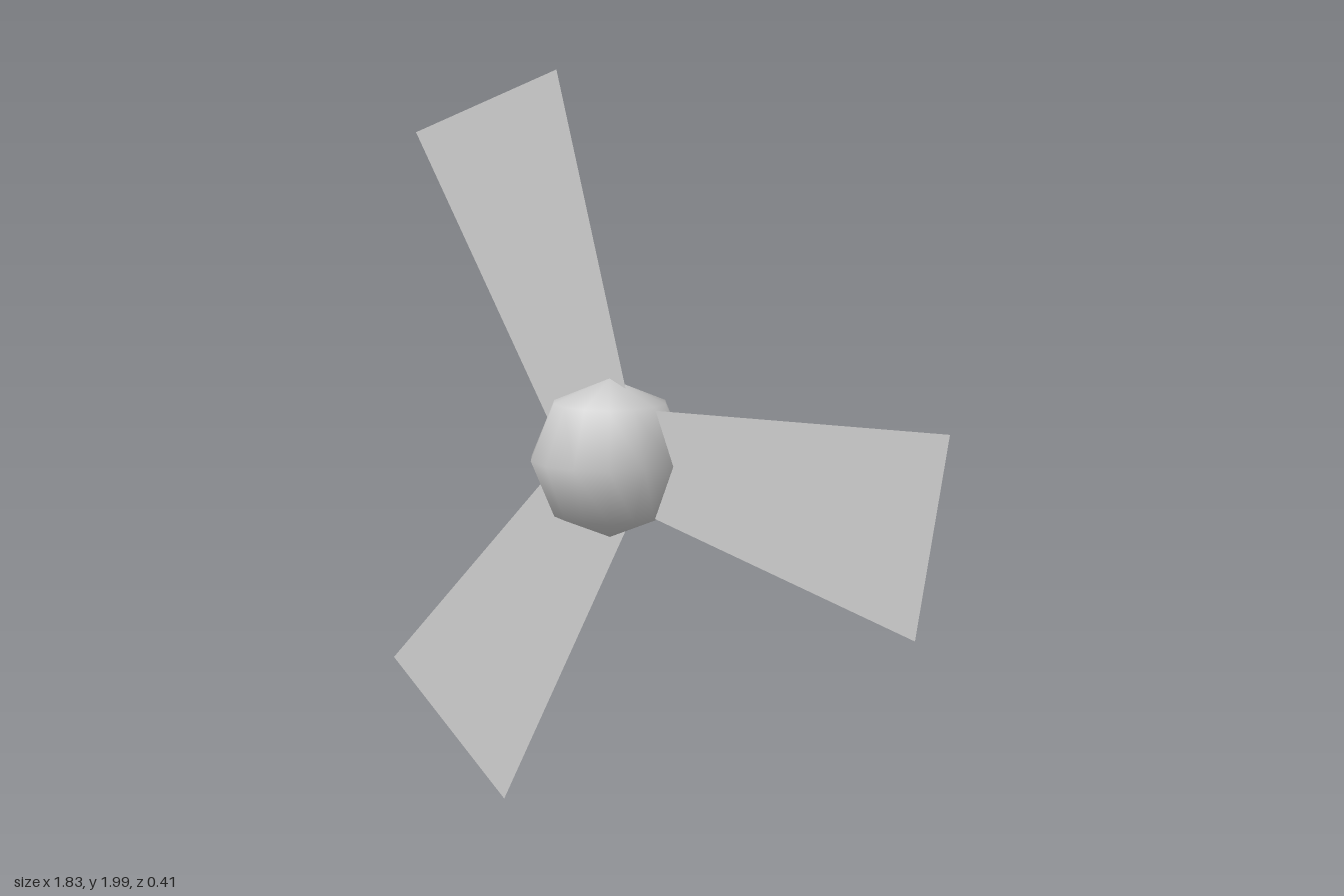
import * as THREE from 'three';

export function createModel() {
  const group = new THREE.Group();
  const grey = new THREE.MeshStandardMaterial({ color: 0xcccccc, side: THREE.DoubleSide });
  grey.name = 'light grey';

  // everything turns around the hub centre
  const rotor = new THREE.Group();
  rotor.name = 'rotor';
  rotor.position.set(-0.135, 1, 0);
  group.add(rotor);

  // faceted hub with smooth normals
  const hub = new THREE.Mesh(new THREE.SphereGeometry(0.21, 14, 4), grey);
  hub.name = 'hub';
  rotor.add(hub);

  // flat blade that widens towards its slanted tip
  const outline = [[0.1, -0.131], [0.955, -0.35], [1.045, 0.17], [0.1, 0.138]];
  const bladeGeometry = new THREE.ShapeGeometry(
    new THREE.Shape(outline.map(([x, y]) => new THREE.Vector2(x, y)))
  );
  for (let i = 0; i < 3; i++) {
    const blade = new THREE.Mesh(bladeGeometry, grey);
    blade.name = `blade${i + 1}`;
    blade.rotation.z = (i * Math.PI * 2) / 3;
    rotor.add(blade);
  }
  return group;
}
